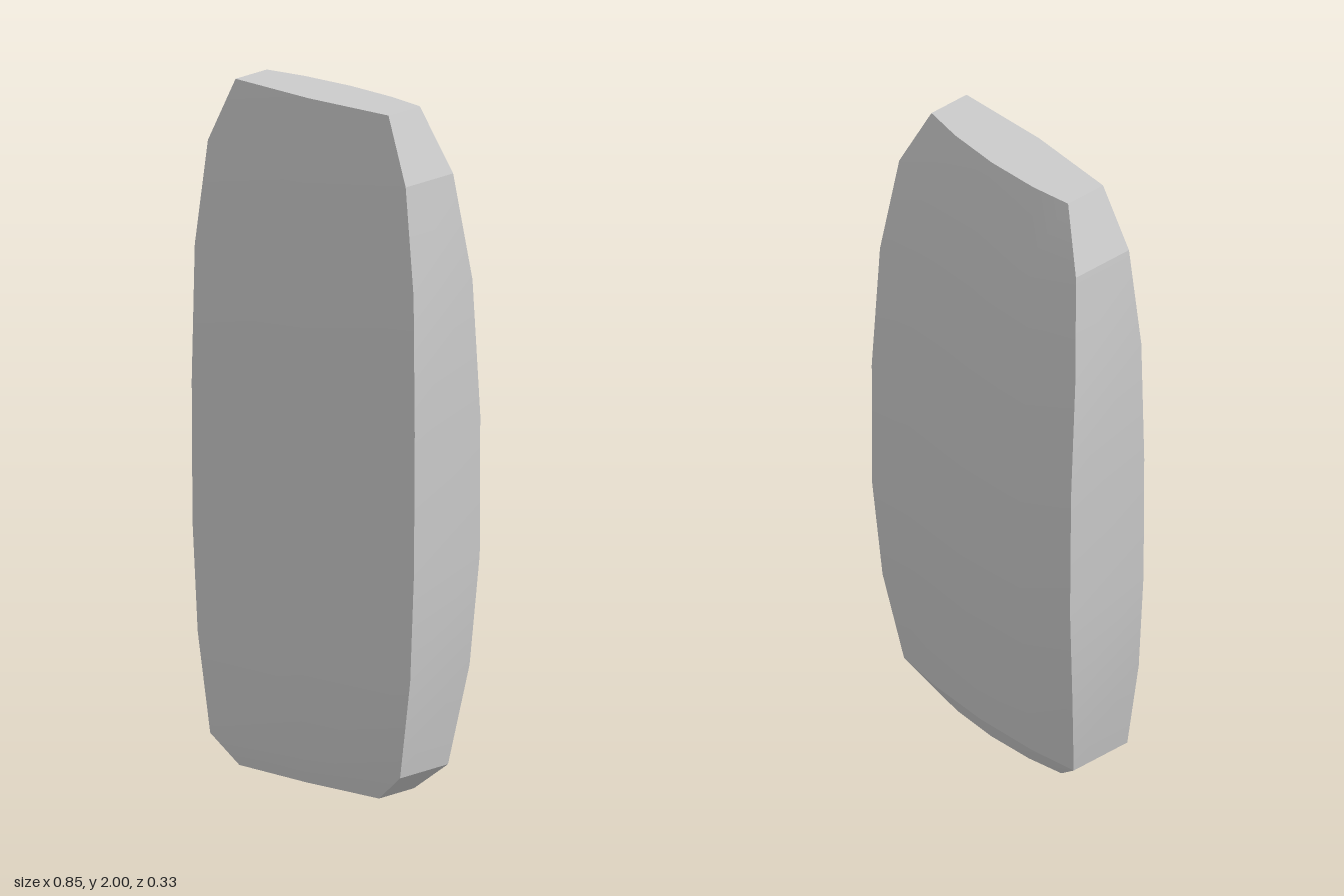
import * as THREE from 'three';
import { toCreasedNormals } from 'three/addons/utils/BufferGeometryUtils.js';

// Height, half width, front z (edge, centre), back z (edge, centre)
const SECTIONS = [
  [0.0, 0.265, 0.125, 0.135, -0.022, -0.052],
  [0.08, 0.36, 0.142, 0.154, -0.06, -0.093],
  [0.37, 0.403, 0.147, 0.16, -0.103, -0.139],
  [0.69, 0.42, 0.15, 0.165, -0.127, -0.165],
  [1.1, 0.423, 0.15, 0.165, -0.126, -0.161],
  [1.5, 0.415, 0.146, 0.161, -0.102, -0.137],
  [1.81, 0.375, 0.135, 0.15, -0.065, -0.097],
  [2.0, 0.29, 0.113, 0.128, -0.019, -0.049],
];

// Outline of one section: shallow ridge in front, four-facet bow behind
function ring([y, w, frontEdge, frontMid, backEdge, backMid]) {
  const backQuarter = THREE.MathUtils.lerp(backEdge, backMid, 0.7);
  const q = w * 0.57;
  return [
    [-w, frontEdge], [0, frontMid], [w, frontEdge],
    [w, backEdge], [q, backQuarter], [0, backMid], [-q, backQuarter], [-w, backEdge],
  ].map(([x, z]) => [x, y, z]);
}

// Joins the sections and closes both ends
function loft(sections) {
  const rings = sections.map(ring);
  const n = rings[0].length;
  const index = [];
  for (let i = 0; i < rings.length - 1; i++) {
    for (let j = 0; j < n; j++) {
      const a = i * n + j, b = i * n + (j + 1) % n;
      index.push(a, b, b + n, a, b + n, a + n);
    }
  }
  const top = (rings.length - 1) * n;
  for (let j = 1; j < n - 1; j++) {
    index.push(0, j + 1, j);
    index.push(top, top + j, top + j + 1);
  }
  const geometry = new THREE.BufferGeometry();
  geometry.setAttribute('position', new THREE.Float32BufferAttribute(rings.flat(2), 3));
  geometry.setIndex(index);
  return toCreasedNormals(geometry, 0.25);
}

export function createModel() {
  const group = new THREE.Group();
  group.name = 'stoneSlab';
  const slab = new THREE.Mesh(loft(SECTIONS), new THREE.MeshStandardMaterial({ color: 0xcccccc }));
  slab.name = 'slabBody';
  group.add(slab);
  return group;
}
